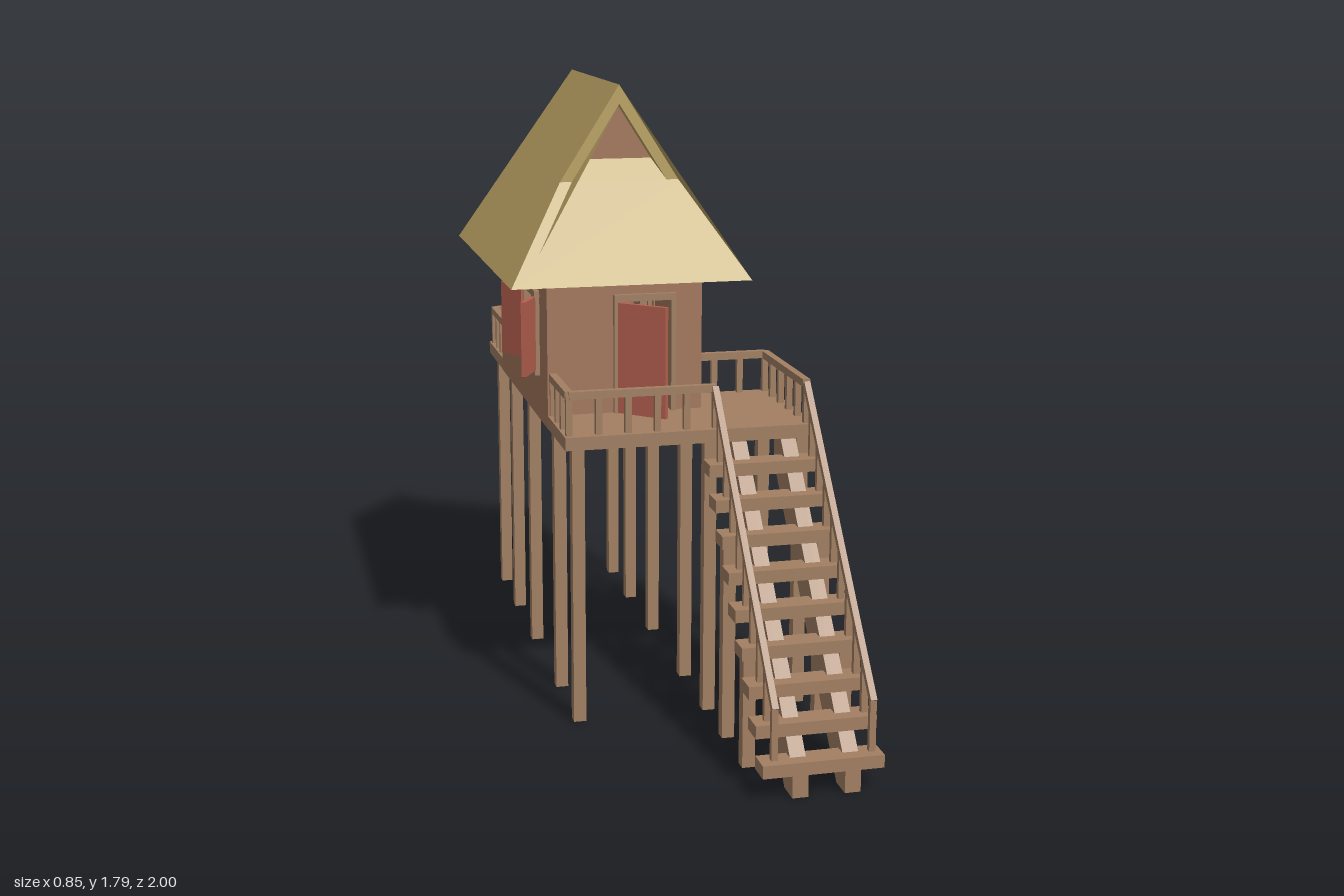
import * as THREE from 'three';

const mat = (color) => new THREE.MeshStandardMaterial({ color, flatShading: true, side: THREE.DoubleSide });
const wood = mat(0xa27f62), clay = mat(0xa3775c), red = mat(0xb5604f), thatch = mat(0xbaa262);

const CX = -0.08, CZ = -0.305;            // centre of the house
const HW = 0.23, HL = 0.415;              // half width and half length of the house

function add(parent, name, geometry, material) {
  const mesh = new THREE.Mesh(geometry, material);
  mesh.name = name;
  parent.add(mesh);
  return mesh;
}

// Box given by its limits on each axis
function box(parent, name, x0, x1, y0, y1, z0, z1, material = wood) {
  const m = add(parent, name, new THREE.BoxGeometry(x1 - x0, y1 - y0, z1 - z0), material);
  m.position.set((x0 + x1) / 2, (y0 + y1) / 2, (z0 + z1) / 2);
  return m;
}

// Square beam between two points
function beam(parent, name, a, b, size) {
  const m = add(parent, name, new THREE.BoxGeometry(size, size, a.distanceTo(b)), wood);
  m.position.copy(a).add(b).multiplyScalar(0.5);
  m.lookAt(b);
  return m;
}

function group(parent, name) {
  const g = new THREE.Group();
  g.name = name;
  parent.add(g);
  return g;
}

// Wall in the xy plane with one rectangular hole, its outer face at z = 0
function wall(parent, name, half, hx0, hx1, hy0, hy1) {
  const rect = (P, x0, x1, y0, y1) => {
    const p = new P();
    p.moveTo(x0, y0); p.lineTo(x1, y0); p.lineTo(x1, y1); p.lineTo(x0, y1); p.closePath();
    return p;
  };
  const s = rect(THREE.Shape, -half, half, 0.81, 1.26);
  s.holes.push(rect(THREE.Path, hx0, hx1, hy0, hy1));
  const g = new THREE.ExtrudeGeometry(s, { depth: 0.02, bevelEnabled: false });
  g.translate(0, 0, -0.02);
  return add(parent, name, g, clay);
}

// Hinged leaf that swings from (x, z) by an angle about y
function leaf(parent, name, x, z, width, y0, y1, angle) {
  const hinge = group(parent, name + 'Hinge');
  hinge.position.set(x, 0, z);
  hinge.rotation.y = angle;
  box(hinge, name, 0, width, y0, y1, -0.0075, 0.0075, red);
}

// Wall with doorway, casing and open door; s = 1 front, -1 back
function doorWall(parent, s) {
  const g = group(parent, s > 0 ? 'frontWall' : 'backWall');
  g.position.set(CX, 0, CZ + s * HL);
  const x0 = -0.02, x1 = 0.135;
  const w = wall(g, 'doorwayWall', HW, x0, x1, 0.85, 1.185);
  if (s < 0) w.position.z = 0.02;
  const z0 = s > 0 ? -0.025 : -0.015, z1 = z0 + 0.04;
  box(g, 'doorPost', x0 - 0.015, x0, 0.85, 1.2, z0, z1);
  box(g, 'doorPost', x1, x1 + 0.015, 0.85, 1.2, z0, z1);
  box(g, 'doorLintel', x0, x1, 1.18, 1.2, z0, z1);
  leaf(g, 'door', x0, s * 0.012, 0.158, 0.852, 1.178, s > 0 ? -0.75 : Math.PI - 1.17);
}

// Long wall with window, casing and two open shutters, built facing +z then turned
function windowWall(parent, s) {
  const g = group(parent, s > 0 ? 'leftWall' : 'rightWall');
  g.position.set(CX + s * HW, 0, CZ);
  g.rotation.y = s * Math.PI / 2;
  const c = 0.19, h = 0.09;
  wall(g, 'windowWall', HL, c - h, c + h, 0.96, 1.18);
  box(g, 'windowSill', c - 0.105, c + 0.105, 0.945, 0.962, -0.025, 0.015);
  box(g, 'windowLintel', c - 0.105, c + 0.105, 1.178, 1.197, -0.025, 0.015);
  for (const k of [-1, 1]) {
    const x = c + k * (h + 0.003);
    box(g, 'windowPost', x - 0.01, x + 0.01, 0.96, 1.18, -0.025, 0.015);
    leaf(g, 'shutter', x, 0.015, 0.1, 0.96, 1.18, k > 0 ? -0.48 : Math.PI + 0.48);
  }
  box(g, 'windowMullion', c - 0.009, c + 0.009, 0.96, 1.18, -0.02, 0.005);
}

// Flat polygon fan through a few corners
function poly(parent, name, points, material) {
  const g = new THREE.BufferGeometry().setFromPoints(points.map((p) => new THREE.Vector3(...p)));
  const index = [];
  for (let i = 1; i < points.length - 1; i++) index.push(0, i, i + 1);
  g.setIndex(index);
  const flat = g.toNonIndexed();
  flat.computeVertexNormals();
  add(parent, name, flat, material);
}

// Hipped roof with a small recessed gable at each end
function roof(parent) {
  const g = group(parent, 'roof');
  g.position.set(CX, 0, -0.31);
  const E = 1.245, B = 1.52;              // eave and gable base heights
  const side = (s, w, b, top, z) => [
    [s * w, E, z], [s * b, B, 0.35], [0, top, 0.35],
    [0, top, -0.35], [s * b, B, -0.35], [s * w, E, -z]];
  const order = (s, pts) => (s > 0 ? pts : pts.slice().reverse());
  for (const s of [1, -1]) {
    poly(g, 'roofSlope', order(s, side(s, 0.35, 0.175, 1.795, 0.53)), thatch);
    poly(g, 'roofUnderside', order(-s, side(s, 0.315, 0.14, 1.74, 0.5)), thatch);
    poly(g, 'eaveEdge', order(s, [[s * 0.35, E, 0.53], [s * 0.35, E, -0.53], [s * 0.315, E, -0.5], [s * 0.315, E, 0.5]]), thatch);
    // Ends of the roof
    const end = (name, pts, m) => poly(g, name, order(s, pts.map(([x, y, z]) => [x, y, s * z])), m);
    end('roofHip', [[-0.35, E, 0.53], [0.35, E, 0.53], [0.175, B, 0.35], [-0.175, B, 0.35]], thatch);
    end('hipLedge', [[-0.14, B, 0.35], [0.14, B, 0.35], [0.102, 1.58, 0.31], [-0.102, 1.58, 0.31]], thatch);
    end('hipUnderside', [[0.315, E, 0.5], [-0.315, E, 0.5], [-0.14, B, 0.33], [0.14, B, 0.33]], thatch);
    end('eaveEdge', [[0.35, E, 0.53], [-0.35, E, 0.53], [-0.315, E, 0.5], [0.315, E, 0.5]], thatch);
    end('gableRimLeft', [[0.14, B, 0.35], [0.175, B, 0.35], [0, 1.795, 0.35], [0, 1.74, 0.35]], thatch);
    end('gableRimRight', [[-0.175, B, 0.35], [-0.14, B, 0.35], [0, 1.74, 0.35], [0, 1.795, 0.35]], thatch);
    end('gableWall', [[-0.14, B, 0.31], [0.14, B, 0.31], [0, 1.74, 0.31]], clay);
  }
}

// Railing that follows plan points [x, z], with evenly spaced balusters
function railing(parent, name, path) {
  const g = group(parent, name);
  for (let i = 0; i < path.length - 1; i++) {
    const a = new THREE.Vector3(path[i][0], 0.965, path[i][1]);
    const b = new THREE.Vector3(path[i + 1][0], 0.965, path[i + 1][1]);
    beam(g, 'handrail', a, b, 0.022);
    const n = Math.max(2, Math.round(a.distanceTo(b) / 0.078));
    for (let k = 0; k <= n; k++) {
      const p = a.clone().lerp(b, k / n);
      box(g, 'baluster', p.x - 0.009, p.x + 0.009, 0.84, 0.965, p.z - 0.009, p.z + 0.009);
    }
  }
}

function stairs(parent) {
  const g = group(parent, 'stairs');
  const railY = (z) => 0.243 + (0.97 - z) * 1.177;
  // Treads with a baluster at each end
  for (let i = 0; i < 9; i++) {
    const y = 0.085 + i * 0.083, z = 0.965 - i * 0.0687;
    box(g, 'tread', 0.085, 0.42, y - 0.018, y + 0.018, z - 0.036, z + 0.036);
    for (const x of [0.125, 0.395])
      box(g, 'stairBaluster', x - 0.009, x + 0.009, y, railY(z), z - 0.008, z + 0.008);
  }
  for (const x of [0.125, 0.395])
    beam(g, 'stairHandrail', new THREE.Vector3(x, railY(0.97), 0.97), new THREE.Vector3(x, railY(0.355), 0.355), 0.018);
  // Sloping stringers, drawn in the zy plane
  const s = new THREE.Shape([[0.31, 0.73], [0.92, 0], [0.99, 0], [0.99, 0.07], [0.375, 0.81], [0.31, 0.81]]
    .map(([z, y]) => new THREE.Vector2(-z, y)));
  const geo = new THREE.ExtrudeGeometry(s, { depth: 0.044, bevelEnabled: false });
  geo.rotateY(Math.PI / 2);
  for (const x of [0.17, 0.315]) add(g, 'stringer', geo, wood).position.x = x;
}

export function createModel() {
  const model = new THREE.Group();
  model.name = 'stiltHouse';

  // House
  const house = group(model, 'house');
  box(house, 'floor', CX - HW + 0.01, CX + HW - 0.01, 0.811, 0.85, CZ - HL + 0.01, CZ + HL - 0.01);
  for (const s of [1, -1]) {
    doorWall(house, s);
    windowWall(house, s);
  }
  roof(house);

  // Decks
  box(model, 'frontDeck', -0.31, 0.42, 0.812, 0.85, 0.108, 0.375);
  box(model, 'sideDeck', 0.148, 0.42, 0.812, 0.85, -0.08, 0.108);
  box(model, 'backDeck', -0.31, 0.15, 0.812, 0.85, -1.0, -0.718);
  railing(model, 'frontRailing', [[-0.295, 0.11], [-0.295, 0.35], [0.128, 0.35]]);
  railing(model, 'sideRailing', [[0.155, -0.065], [0.397, -0.065], [0.397, 0.35]]);
  railing(model, 'backRailing', [[-0.295, -0.725], [-0.295, -0.975], [0.135, -0.975], [0.135, -0.725]]);

  stairs(model);

  // Stilts as [x, z, height]
  const stilts = [[0.385, 0.34, 0.82], [0.385, -0.04, 0.82]];
  for (const z of [0.34, 0.065, -0.355, -0.685, -0.96])
    for (const x of [-0.27, 0.113]) stilts.push([x, z, 0.82]);
  for (const x of [0.113, 0.385]) stilts.push([x, 0.55, 0.57], [x, 0.757, 0.325]);
  for (const [x, z, h] of stilts) box(model, 'stilt', x - 0.018, x + 0.018, 0, h, z - 0.018, z + 0.018);

  return model;
}
